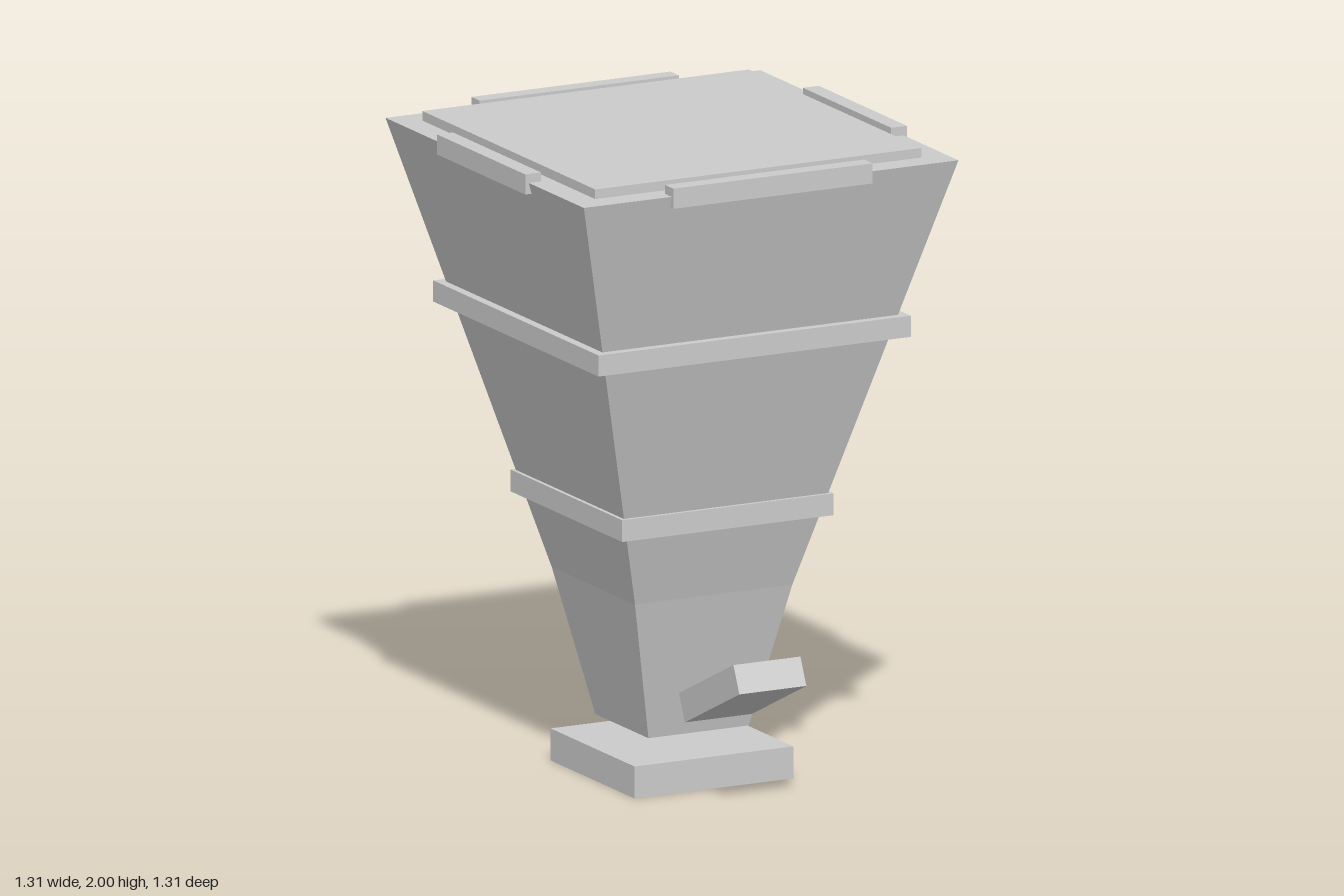
import * as THREE from 'three';

const material = new THREE.MeshStandardMaterial({ color: 0xcccccc, flatShading: true });

export function createModel() {
  const model = new THREE.Group();
  model.name = 'hopper';

  const add = (name, geometry, x = 0, y = 0, z = 0) => {
    const mesh = new THREE.Mesh(geometry, material);
    mesh.name = name;
    mesh.position.set(x, y, z);
    model.add(mesh);
    return mesh;
  };
  // Box spanning y0..y1
  const slab = (name, w, d, y0, y1, x = 0, z = 0) =>
    add(name, new THREE.BoxGeometry(w, y1 - y0, d), x, (y0 + y1) / 2, z);

  // Square funnel body: [half width, height], turned in four sides
  const profile = [[0, 0.155], [0.172, 0.155], [0.27, 0.605], [0.643, 1.97], [0, 1.97]]
    .map(([half, y]) => new THREE.Vector2(half * Math.SQRT2, y));
  add('funnelBody', new THREE.LatheGeometry(profile, 4, Math.PI / 4));

  // Base plate, reinforcing bands and lid
  slab('basePlate', 0.545, 0.545, 0, 0.1);
  slab('lowerBand', 0.726, 0.726, 0.832, 0.9);
  slab('upperBand', 1.072, 1.072, 1.407, 1.473);
  slab('lid', 1.12, 1.12, 1.96, 2);

  // Rim rails on all four edges
  for (const s of [-1, 1]) {
    slab(s > 0 ? 'frontRail' : 'backRail', 0.684, 0.054, 1.935, 1.998, 0, s * 0.628);
    slab(s > 0 ? 'leftRail' : 'rightRail', 0.054, 0.572, 1.935, 1.998, s * 0.628, 0);
  }

  // Tilted chute block at the front
  const chute = add('chute', new THREE.BoxGeometry(0.23, 0.092, 0.39), 0, 0.35, 0.458);
  chute.rotation.x = -THREE.MathUtils.degToRad(25);

  return model;
}
